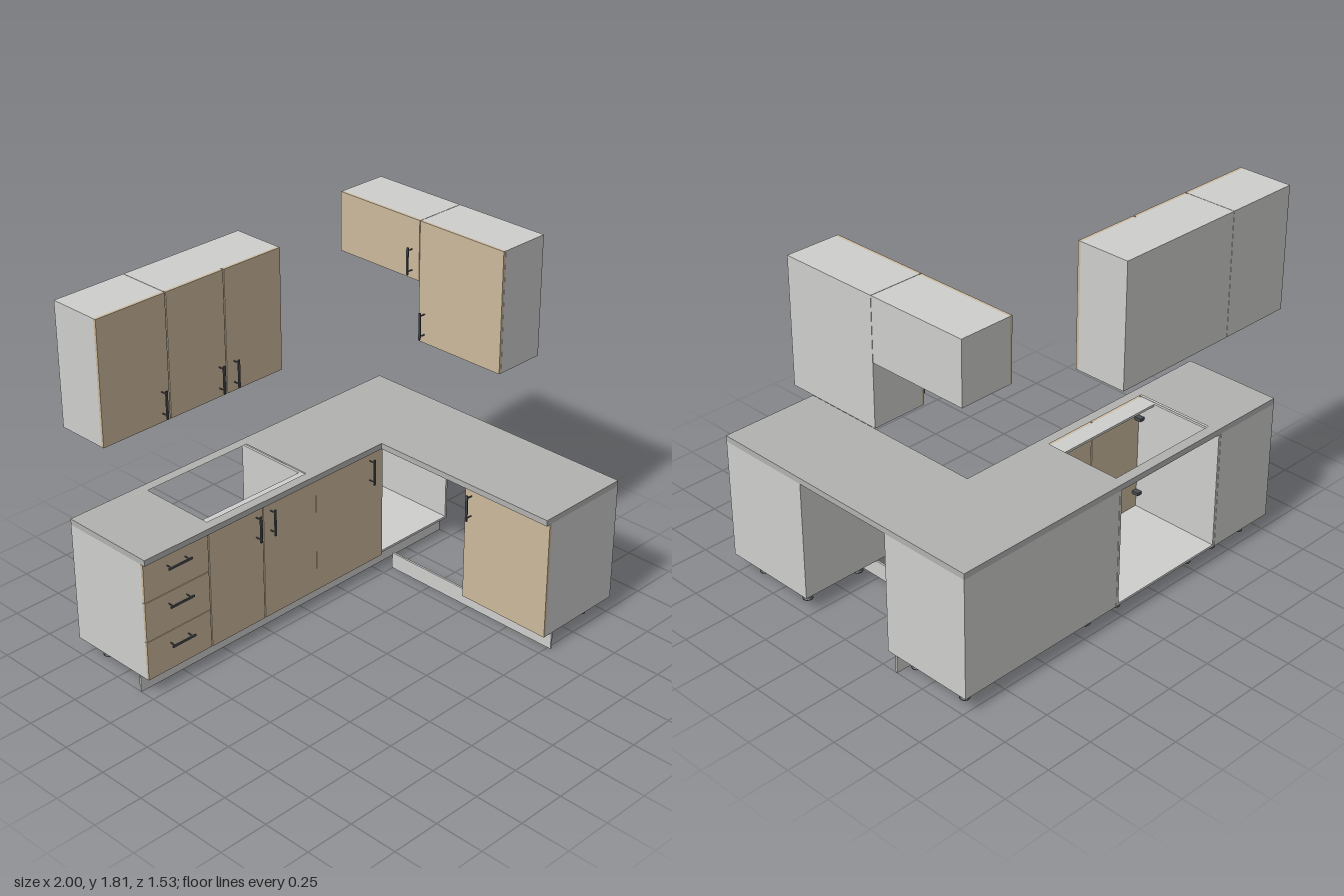
import * as THREE from 'three';

const material = (name, color) => {
  const m = new THREE.MeshStandardMaterial({ color });
  m.name = name;
  return m;
};

export function createModel() {
  const kitchen = new THREE.Group();
  kitchen.name = 'cornerKitchen';
  const carcass = material('lightGreyCarcass', 0xd0d0cf);
  const front = material('beigeFront', 0xcdbb9e);
  const stone = material('greyWorktop', 0xb3b3b2);
  const metal = material('darkMetal', 0x4c5056);

  // Box given by its minimum and maximum corners
  function box(name, mat, [x0, y0, z0], [x1, y1, z1], parent = kitchen) {
    const mesh = new THREE.Mesh(new THREE.BoxGeometry(x1 - x0, y1 - y0, z1 - z0), mat);
    mesh.position.set((x0 + x1) / 2, (y0 + y1) / 2, (z0 + z1) / 2);
    mesh.name = name;
    parent.add(mesh);
    return mesh;
  }

  // Bar handle, built upright and projecting towards +z
  function handle(x, y, z, { turn = 0, flat = false } = {}) {
    const g = new THREE.Group();
    g.name = 'handle';
    box('handleBar', metal, [-0.005, -0.069, 0.029], [0.005, 0.069, 0.036], g);
    for (const s of [-1, 1]) {
      const post = new THREE.Mesh(new THREE.CylinderGeometry(0.003, 0.003, 0.032, 8), metal);
      post.rotation.x = Math.PI / 2;
      post.position.set(0, s * 0.053, 0.016);
      post.name = 'handlePost';
      g.add(post);
    }
    g.position.set(x, y, z);
    g.rotation.set(0, turn, flat ? Math.PI / 2 : 0);
    kitchen.add(g);
  }

  // Hollow cabinet with optional back and top; the front stays open
  function openCabinet(name, x0, x1, y0, y1, z0, z1, { back = true } = {}) {
    const g = new THREE.Group();
    g.name = name;
    const t = 0.012;
    box('sidePanel', carcass, [x0, y0, z0], [x0 + t, y1, z1], g);
    box('sidePanel', carcass, [x1 - t, y0, z0], [x1, y1, z1], g);
    box('bottomPanel', carcass, [x0 + t, y0, z0], [x1 - t, y0 + t, z1], g);
    box('frontRail', carcass, [x0 + t, y1 - t, z1 - 0.09], [x1 - t, y1, z1], g);
    if (back) box('backPanel', carcass, [x0 + t, y0 + t, z0], [x1 - t, y1, z0 + 0.006], g);
    kitchen.add(g);
  }

  // Adjustable foot with a plate at each end
  const footProfile = [[0, 0], [0.025, 0], [0.025, 0.006], [0.012, 0.01], [0.012, 0.08],
    [0.025, 0.083], [0.025, 0.09], [0, 0.09]].map(([r, y]) => new THREE.Vector2(r, y));
  const footGeometry = new THREE.LatheGeometry(footProfile, 14);
  function feet(xs, zs) {
    for (const x of xs) for (const z of zs) {
      const foot = new THREE.Mesh(footGeometry, metal);
      foot.position.set(x, 0, z);
      foot.name = 'foot';
      kitchen.add(foot);
    }
  }

  const BACK = -0.767, END = 0.767, GAP = 0.003;
  const Y0 = 0.09, Y1 = 0.7, FACE = -0.273, BODY = -0.287;

  // Base cabinets
  box('drawerCabinet', carcass, [-1, Y0, BACK], [-0.619, Y1, BODY]);
  openCabinet('sinkCabinet', -0.617, 0.06, Y0, Y1, BACK, BODY, { back: false });
  openCabinet('cornerCabinet', 0.062, 1, Y0, Y1, BACK, BODY);
  box('sideRunCabinet', carcass, [0.524, Y0, 0.258], [1, Y1, END]);

  // Drawer fronts and their handles
  [[0.5, Y1, 0.64], [0.294, 0.5, 0.44], [Y0, 0.294, 0.23]].forEach(([a, b, h]) => {
    box('drawerFront', front, [-1, a + GAP / 2, BODY], [-0.617 - GAP, b - GAP / 2, FACE]);
    handle(-0.81, h, FACE, { flat: true });
  });

  // Base doors
  [[-0.617, -0.281, -0.325], [-0.281, 0.06, -0.235], [0.06, 0.51, 0.42]].forEach(([a, b, h]) => {
    const g = b > 0 ? 0.001 : GAP;
    box('baseDoor', front, [a + (a > 0 ? 0 : GAP), Y0, BODY], [b - g, Y1, FACE]);
    handle(h, 0.604, FACE);
  });
  box('sideRunDoor', front, [0.51, Y0, 0.26], [0.524, Y1, END]);
  handle(0.51, 0.604, 0.298, { turn: -Math.PI / 2 });

  // Door hinges inside the sink cabinet
  for (const x of [-0.59, 0.033]) for (const y of [0.19, 0.6]) {
    box('hinge', metal, [x - 0.014, y - 0.008, BODY - 0.035], [x + 0.014, y + 0.008, BODY]);
  }

  // L-shaped worktop with the sink cut-out (shape y becomes -z)
  const outline = [[-1, BACK], [1, BACK], [1, END], [0.488, END], [0.488, -0.26], [-1, -0.26]];
  const cutout = [[-0.59, -0.715], [0.03, -0.715], [0.03, -0.31], [-0.59, -0.31]];
  const points = list => list.map(([x, z]) => new THREE.Vector2(x, -z));
  const shape = new THREE.Shape(points(outline));
  shape.holes.push(new THREE.Path(points(cutout)));
  const topGeometry = new THREE.ExtrudeGeometry(shape, { depth: 0.03, bevelEnabled: false });
  topGeometry.rotateX(-Math.PI / 2);
  const worktop = new THREE.Mesh(topGeometry, stone);
  worktop.position.y = Y1;
  worktop.name = 'worktop';
  kitchen.add(worktop);

  // Plinths and feet
  box('backRunPlinth', carcass, [-1, 0, -0.342], [1, 0.086, -0.332]);
  box('sideRunPlinth', carcass, [0.564, 0, -0.253], [0.574, 0.086, END]);
  feet([-0.91, -0.71, -0.53, -0.04, 0.16, 0.91], [-0.37, -0.67]);
  feet([0.605, 0.91], [0.36, 0.665]);

  // Wall cabinets on the back run
  const W0 = 1.197, W1 = 1.807;
  box('wallCabinet', carcass, [-1, W0, BACK], [-0.619, W1, -0.506]);
  box('wallCabinet', carcass, [-0.617, W0, BACK], [0.06, W1, -0.506]);
  [[-1, -0.617, -0.663], [-0.617, -0.281, -0.325], [-0.281, 0.06, -0.235]].forEach(([a, b, h]) => {
    box('wallDoor', front, [a < -0.9 ? a : a + GAP, W0, -0.506], [b > 0 ? b : b - GAP, W1, -0.492]);
    handle(h, 1.293, -0.492);
  });

  // Wall cabinets on the side run: a short one and a tall one
  [[BACK, -0.255, 1.504, 1.6, -0.3], [-0.253, 0.255, W0, 1.293, -0.215]].forEach(([z0, z1, y0, hy, hz]) => {
    box('sideWallCabinet', carcass, [0.738, y0, z0], [1, W1, z1]);
    box('sideWallDoor', front, [0.725, y0, z0 + 0.001], [0.738, W1, z1 - 0.001]);
    handle(0.725, hy, hz, { turn: -Math.PI / 2 });
  });

  return kitchen;
}
